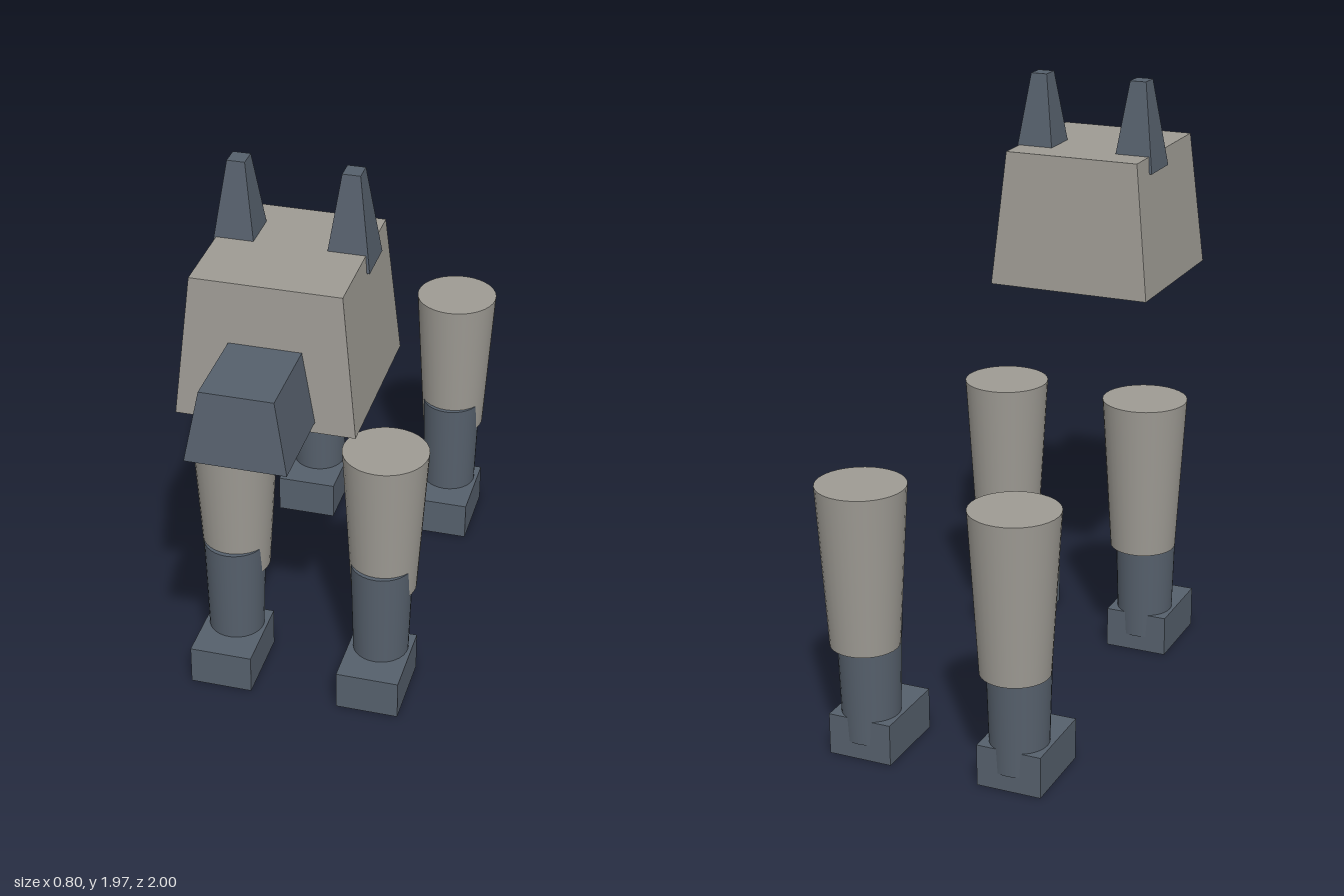
import * as THREE from 'three';

const fur = new THREE.MeshStandardMaterial({ color: 0x9e9b94 });
fur.name = 'warm grey fur';
const dark = new THREE.MeshStandardMaterial({ color: 0x56606c });
dark.name = 'slate grey';

function add(parent, name, geometry, material, x, y, z) {
  const mesh = new THREE.Mesh(geometry, material);
  mesh.name = name;
  mesh.position.set(x, y, z);
  parent.add(mesh);
  return mesh;
}

// Box whose top face is drawn in, standing on y = 0
function taperedBox(width, height, depth, topWidth, topDepth) {
  const geometry = new THREE.BoxGeometry(width, height, depth).translate(0, height / 2, 0);
  const p = geometry.attributes.position;
  for (let i = 0; i < p.count; i++) {
    if (p.getY(i) > height / 2) {
      p.setX(i, p.getX(i) * topWidth / width);
      p.setZ(i, p.getZ(i) * topDepth / depth);
    }
  }
  geometry.computeVertexNormals();
  return geometry;
}

// Tapered round limb standing on y = 0
function limb(topRadius, bottomRadius, height) {
  return new THREE.CylinderGeometry(topRadius, bottomRadius, height, 32).translate(0, height / 2, 0);
}

export function createModel() {
  const model = new THREE.Group();
  model.name = 'animal';

  // Head, snout and ears
  const head = new THREE.Group();
  head.name = 'head';
  model.add(head);
  add(head, 'skull', taperedBox(0.56, 0.455, 0.56, 0.465, 0.51), fur, 0, 1.27, 0.425);
  add(head, 'snout', taperedBox(0.31, 0.225, 0.4, 0.225, 0.35), dark, 0, 1.305, 0.8);
  const ear = taperedBox(0.14, 0.295, 0.155, 0.056, 0.063);
  for (const side of [-1, 1]) {
    add(head, side > 0 ? 'leftEar' : 'rightEar', ear, dark, side * 0.177, 1.67, 0.347);
  }

  // Four legs, each with a thigh, a shin and a block foot
  const thigh = limb(0.143, 0.111, 0.53);
  const shin = limb(0.105, 0.092, 0.43);
  const foot = new THREE.BoxGeometry(0.213, 0.137, 0.277);
  for (const [end, z] of [['front', 0.214], ['back', -0.857]]) {
    for (const side of [-1, 1]) {
      const leg = new THREE.Group();
      leg.name = end + (side > 0 ? 'Left' : 'Right') + 'Leg';
      leg.position.set(side * 0.256, 0, z);
      add(leg, 'thigh', thigh, fur, 0, 0.38, 0);
      add(leg, 'shin', shin, dark, 0, 0.055, 0.028);
      add(leg, 'foot', foot, dark, 0, 0.0685, 0.082);
      model.add(leg);
    }
  }
  return model;
}
